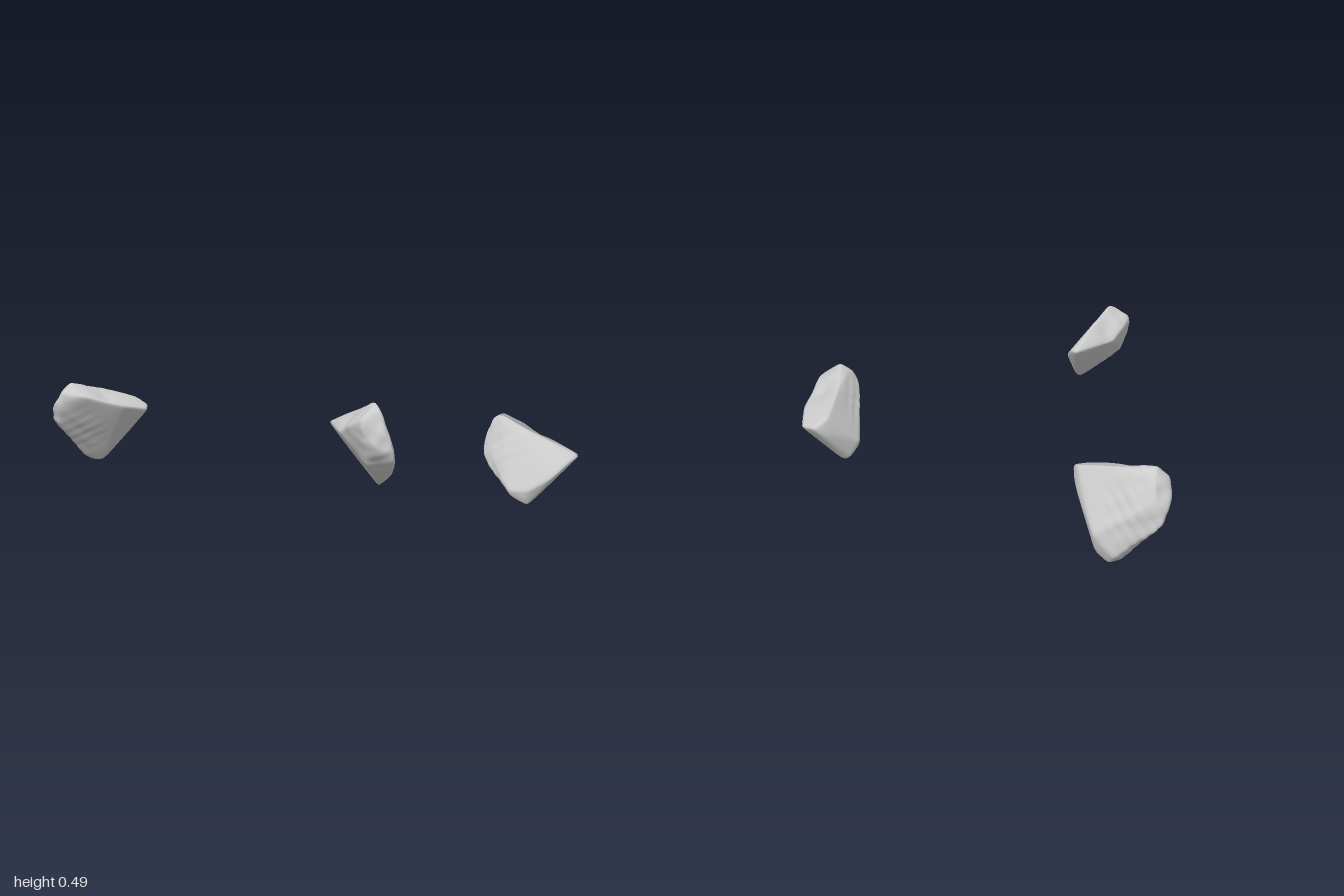
import * as THREE from 'three';
import { ConvexGeometry } from 'three/addons/geometries/ConvexGeometry.js';
import { mergeVertices } from 'three/addons/utils/BufferGeometryUtils.js';

const V = (a) => new THREE.Vector3(...a);

// Weathered strata on the outer end, fading out towards the inner tip and the smooth back
function weathering(p) {
  const wave = Math.sin(42 * p.z + 12 * p.x + 2 * Math.sin(15 * p.y))
    + 0.8 * Math.sin(63 * p.y - 31 * p.z + 2 * Math.sin(21 * p.x))
    + 0.5 * Math.sin(97 * p.z + 71 * p.y);
  return 0.0025 * wave * THREE.MathUtils.smoothstep(Math.abs(p.x), 0.68, 0.92)
    * THREE.MathUtils.smoothstep(p.z, -0.16, 0.04);
}

// Rock: a sphere projected onto the softly rounded hull of the corner points,
// with a shallow hollow in the broken top face
function makeRock(name, corners, hollow) {
  const points = corners.map(V);
  const centre = new THREE.Vector3();
  points.forEach((p) => centre.addScaledVector(p, 1 / points.length));

  // Planes of the hull, each as normal / distance from the centre
  const hull = new ConvexGeometry(points).attributes.position;
  const planes = [];
  for (let i = 0; i < hull.count; i += 3) {
    const [a, b, c] = [0, 1, 2].map((k) => new THREE.Vector3().fromBufferAttribute(hull, i + k).sub(centre));
    const n = b.sub(a).cross(c.sub(a));
    if (n.length() < 1e-7) continue;
    n.normalize();
    planes.push(n.divideScalar(n.dot(a)));
  }

  let geo = new THREE.IcosahedronGeometry(1, 30);
  geo.deleteAttribute('normal');
  geo.deleteAttribute('uv');
  geo = mergeVertices(geo, 1e-5);
  const pos = geo.attributes.position;
  const dent = V(hollow).sub(centre).normalize();
  const dir = new THREE.Vector3();
  const p = new THREE.Vector3();
  const softness = 45;
  for (let i = 0; i < pos.count; i++) {
    dir.fromBufferAttribute(pos, i).normalize();
    const q = planes.map((n) => n.dot(dir));
    const top = Math.max(...q);
    const sum = q.reduce((s, v) => s + Math.pow(Math.max(v, 0) / top, softness), 0);
    // the small factor makes up for what the rounding takes off
    let r = 1.022 / (top * Math.pow(sum, 1 / softness));
    p.copy(dir).multiplyScalar(r).add(centre);
    r += weathering(p);
    r *= 1 - 0.08 * Math.exp((dir.dot(dent) - 1) * 18);
    p.copy(dir).multiplyScalar(r).add(centre);
    pos.setXYZ(i, p.x, Math.max(p.y, 0), p.z);
  }
  geo.computeVertexNormals();
  const mesh = new THREE.Mesh(geo, new THREE.MeshStandardMaterial({ color: 0xcccccc }));
  mesh.name = name;
  return mesh;
}

export function createModel() {
  const group = new THREE.Group();
  group.name = 'rockPair';

  group.add(makeRock('rightRock', [
    // ridge and front rim of the broken face
    [-0.61, 0.325, -0.195], [-0.68, 0.365, -0.185], [-0.79, 0.42, -0.04], [-0.87, 0.46, 0.14],
    [-0.565, 0.31, -0.14], [-0.625, 0.335, -0.01], [-0.68, 0.35, 0.05], [-0.77, 0.39, 0.155],
    // outer end
    [-0.88, 0.41, 0.197], [-0.9, 0.33, 0.2], [-0.97, 0.32, 0.185], [-1.0, 0.25, 0.15],
    [-0.98, 0.36, 0.12], [-0.93, 0.43, 0.12], [-0.93, 0.24, 0.17], [-0.96, 0.16, 0.07],
    // belly of the front
    [-0.82, 0.22, 0.075],
    // back and underside
    [-0.65, 0.28, -0.2], [-0.73, 0.25, -0.185], [-0.9, 0.15, -0.13], [-0.685, 0.2, -0.14],
    [-0.95, 0.06, -0.05], [-0.95, 0.15, 0.05],
    // foot
    [-0.9, 0.0, -0.065], [-0.85, 0.0, -0.085], [-0.87, 0.04, -0.12], [-0.92, 0.04, 0.0],
  ], [-0.73, 0.38, 0.02]));

  group.add(makeRock('leftRock', [
    // ridge and front rim of the broken face
    [0.555, 0.345, -0.14], [0.72, 0.42, -0.05], [0.89, 0.49, 0.068],
    [0.62, 0.33, -0.06], [0.72, 0.335, 0.08], [0.81, 0.39, 0.15], [0.88, 0.43, 0.18],
    // outer end
    [0.93, 0.46, 0.1], [0.96, 0.38, 0.13], [0.88, 0.38, 0.19], [1.0, 0.28, 0.11],
    [0.95, 0.3, 0.165], [0.99, 0.21, 0.08], [0.88, 0.22, 0.135], [0.94, 0.16, 0.04],
    // belly of the front
    [0.82, 0.24, 0.06],
    // back and underside
    [0.62, 0.33, -0.17], [0.7, 0.27, -0.187], [0.82, 0.2, -0.167], [0.91, 0.18, -0.12],
    [0.96, 0.26, 0.0], [0.68, 0.22, -0.12], [0.9, 0.12, -0.1],
    // foot
    [0.84, 0.07, -0.1], [0.83, 0.08, -0.13], [0.84, 0.13, -0.15], [0.86, 0.1, -0.04],
  ], [0.74, 0.39, 0.04]));

  return group;
}
